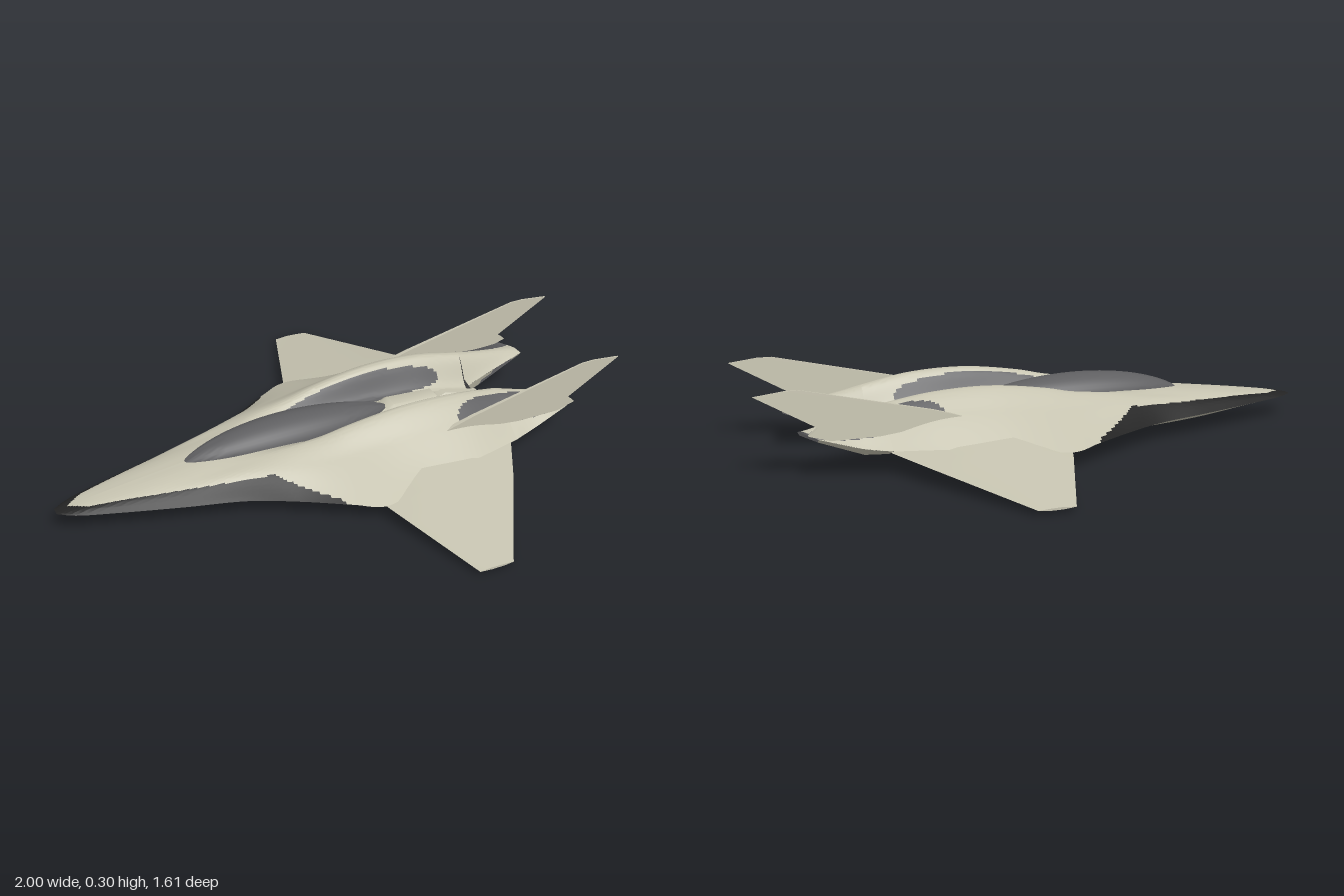
import * as THREE from 'three';
import { toCreasedNormals } from 'three/addons/utils/BufferGeometryUtils.js';

const paint = (name, color, side = THREE.FrontSide) => {
  const m = new THREE.MeshStandardMaterial({ color, side });
  m.name = name;
  return m;
};
const V = (x, y, z) => new THREE.Vector3(x, y, z);

// Subdivides a point list, either along a spline or along straight segments.
function refine(points, n, smooth) {
  const path = smooth ? new THREE.CatmullRomCurve3(points) : null;
  const out = [], total = (points.length - 1) * n;
  for (let k = 0; k <= total; k++) {
    const s = Math.min(Math.floor(k / n), points.length - 2);
    out.push(smooth ? path.getPoint(k / total)
      : points[s].clone().lerp(points[s + 1], k / n - s));
  }
  return out;
}

// Skins a row of cross-sections; pick(centre) returns a material index for each cell.
function loft(name, sections, materials, o = {}) {
  const { nu = 1, nv = 1, su = false, sv = false, cap = -1, mirror = 1, pick = () => 0 } = o;
  const columns = sections[0].map((_, j) => refine(sections.map((s) => s[j]), nu, su));
  const rows = columns[0].map((_, i) => refine(columns.map((c) => c[i]), nv, sv));
  const lists = materials.map(() => []);
  const tri = (m, a, b, c) => {
    for (const p of mirror > 0 ? [a, b, c] : [a, c, b]) lists[m].push(p.x, p.y, p.z * mirror);
  };
  for (let i = 0; i < rows.length - 1; i++) {
    for (let j = 0; j < rows[i].length - 1; j++) {
      const a = rows[i][j], b = rows[i][j + 1], c = rows[i + 1][j], d = rows[i + 1][j + 1];
      const m = pick(a.clone().add(b).add(c).add(d).multiplyScalar(0.25));
      tri(m, a, b, c);
      tri(m, b, d, c);
    }
  }
  if (cap >= 0) {
    const end = rows[rows.length - 1];
    const mid = end.reduce((s, p) => s.add(p), V(0, 0, 0)).divideScalar(end.length);
    end.forEach((p, j) => tri(cap, mid, p, end[(j + 1) % end.length]));
  }
  let g = new THREE.BufferGeometry();
  g.setAttribute('position', new THREE.Float32BufferAttribute(lists.flat(), 3));
  g = toCreasedNormals(g, 0.65);
  let start = 0;
  lists.forEach((l, m) => {
    if (l.length) g.addGroup(start, l.length / 3, m);
    start += l.length / 3;
  });
  const mesh = new THREE.Mesh(g, materials);
  mesh.name = name;
  return mesh;
}

// Body stations: x, top y, then z/y of valley, crest, shoulder, chine, belly, and keel y
const STATIONS = [
  [-1, .078, .003, .078, .006, .078, .01, .078, .015, .077, .008, .075, .075],
  [-.95, .088, .015, .088, .028, .086, .04, .082, .047, .076, .025, .07, .068],
  [-.8, .11, .03, .108, .055, .104, .075, .095, .098, .075, .05, .058, .052],
  [-.6, .135, .04, .133, .08, .125, .115, .11, .155, .072, .08, .04, .03],
  [-.4, .16, .05, .155, .1, .148, .15, .135, .21, .07, .1, .03, .012],
  [-.25, .17, .07, .16, .12, .17, .19, .145, .285, .07, .14, .035, .003],
  [-.1, .17, .08, .155, .13, .19, .22, .15, .375, .07, .17, .045, .001],
  [0, .17, .075, .15, .135, .212, .23, .16, .425, .066, .19, .05, .005],
  [.2, .16, .07, .145, .14, .238, .24, .175, .37, .08, .2, .055, .02],
  [.4, .145, .06, .135, .14, .233, .23, .18, .34, .09, .2, .058, .045],
  [.57, .11, .06, .1, .13, .205, .21, .16, .3, .09, .18, .065, .06],
];

// Inner limit of the dark leading edge
const EDGE = [[-1, 0], [-.96, 0], [-.9, .04], [-.6, .112], [-.3, .19], [-.12, .35]];
function edgeLimit(x) {
  for (let k = 1; k < EDGE.length; k++) {
    const [x0, z0] = EDGE[k - 1], [x1, z1] = EDGE[k];
    if (x <= x1) return z0 + (z1 - z0) * (x - x0) / (x1 - x0);
  }
  return 9;
}
const inEllipse = (p, x, z, rx, rz) => ((p.x - x) / rx) ** 2 + ((p.z - z) / rz) ** 2 < 1;
const upperPaint = (p) => {
  if (p.z > edgeLimit(p.x)) return 2;
  if (inEllipse(p, .16, .09, .31, .033)) return 1;
  return p.z < .245 && inEllipse(p, .61, .225, .235, .07) ? 1 : 0;
};

export function createModel() {
  const hull = paint('pale hull', 0xc6c3b0);
  const grey = paint('dark grey', 0x5f5f61);
  const black = paint('black edge', 0x232323);
  const metal = paint('nozzle metal', 0x77777a);
  const model = new THREE.Group();
  model.name = 'aircraft';

  const upper = STATIONS.map(([x, y, ...s]) =>
    [V(x, y, 0), ...[0, 2, 4, 6].map((k) => V(x, s[k + 1], s[k]))]);
  const lower = STATIONS.map(([x, , ...s]) => [V(x, s[7], s[6]), V(x, s[9], s[8]), V(x, s[10], 0)]);

  // Engine pods continue the rear body section to a slanted nozzle
  const podTop = [
    upper[upper.length - 1].slice(1),
    [V(.66, .115, .085), V(.66, .182, .14), V(.66, .152, .21), V(.66, .1, .275)],
    [V(.845, .137, .135), V(.835, .145, .165), V(.815, .143, .21), V(.8, .137, .25)],
  ];
  const podBottom = [
    [podTop[0][3], V(.57, .065, .24), V(.57, .065, .07), podTop[0][0]],
    [podTop[1][3], V(.65, .07, .24), V(.65, .07, .1), podTop[1][0]],
    [podTop[2][3], V(.8, .126, .24), V(.84, .126, .14), podTop[2][0]],
  ];

  // Wing sections: z, leading x, trailing x, edge y, top y, bottom y
  const wing = [
    [.26, -.03, .57, .075, .122, .058],
    [.43, .005, .48, .06, .09, .047],
    [.805, .138, .26, .018, .022, .014],
  ].map(([z, a, b, y, top, bottom]) => {
    const at = (t, h) => V(a + (b - a) * t, h, z);
    return [at(1, y), at(.7, y + (top - y) * .7), at(.35, top), at(0, y),
      at(.35, bottom), at(.75, bottom), at(1, y)];
  });

  // Upright tail fin, thick at the root and thin at the tip
  const finShape = new THREE.Shape([[.3, .165], [.42, .2], [.85, .3], [.9, .301], [1, .29],
    [.8, .175], [.83, .15], [.76, .13], [.6, .13]].map(([x, y]) => new THREE.Vector2(x, y)));
  const finGeometry = new THREE.ExtrudeGeometry(finShape, { depth: 1, bevelEnabled: false });
  const fp = finGeometry.attributes.position;
  for (let i = 0; i < fp.count; i++) {
    const h = THREE.MathUtils.clamp((fp.getY(i) - .13) / .17, 0, 1);
    fp.setZ(i, (fp.getZ(i) - .5) * (.02 - .015 * h) + .007 * h);
  }
  finGeometry.computeVertexNormals();

  for (const mirror of [1, -1]) {
    const side = new THREE.Group();
    side.name = mirror > 0 ? 'leftSide' : 'rightSide';
    side.add(
      loft('upperBody', upper, [hull, grey, black],
        { nu: 16, nv: 14, su: true, sv: true, cap: 1, mirror, pick: upperPaint }),
      loft('lowerBody', lower, [hull, grey, black],
        { nu: 10, nv: 8, su: true, sv: true, cap: 1, mirror, pick: (p) => (p.x < -.97 ? 2 : 0) }),
      loft('enginePod', podTop, [hull, grey, metal],
        { nu: 24, nv: 12, su: true, sv: true, cap: 2, mirror, pick: upperPaint }),
      loft('nozzle', podBottom, [hull, grey, metal], { nu: 4, nv: 2, cap: 2, mirror,
        pick: (p) => (p.z > .1 && p.z < .24 && p.x > .65 && p.y < .128 ? 2 : 0) }),
      loft('wing', wing, [hull], { nu: 4, cap: 0, mirror }),
    );
    const fin = new THREE.Mesh(finGeometry, hull);
    fin.name = 'tailFin';
    fin.position.z = .242 * mirror;
    side.add(fin);
    model.add(side);
  }

  // Teardrop canopy
  const canopy = [];
  for (let i = 0; i <= 32; i++) {
    const t = -1 + i / 16, r = Math.pow(1 - t * t, .75);
    const arc = [];
    for (let j = 0; j <= 20; j++) {
      const a = Math.PI * j / 20;
      arc.push(V(-.17 + .39 * t, .143 + .012 * t * (1 - r) + .078 * r * Math.sin(a),
        -.088 * r * Math.cos(a)));
    }
    canopy.push(arc);
  }
  model.add(loft('canopy', canopy, [grey]));

  // Spine behind the canopy, in two sloping blocks
  for (const [x0, x1, y0, y1, w] of [[.2, .4, .172, .16, .045], [.41, .58, .155, .12, .024]]) {
    const ring = (x, y) => [V(x, .08, -w), V(x, y - .012, -w), V(x, y, -w * .6),
      V(x, y, w * .6), V(x, y - .012, w), V(x, .08, w)];
    model.add(loft('spine', [ring(x0, y0 - .012), ring(x0 + .03, y0), ring(x1, y1)], [hull], { cap: 0 }));
  }
  return model;
}
